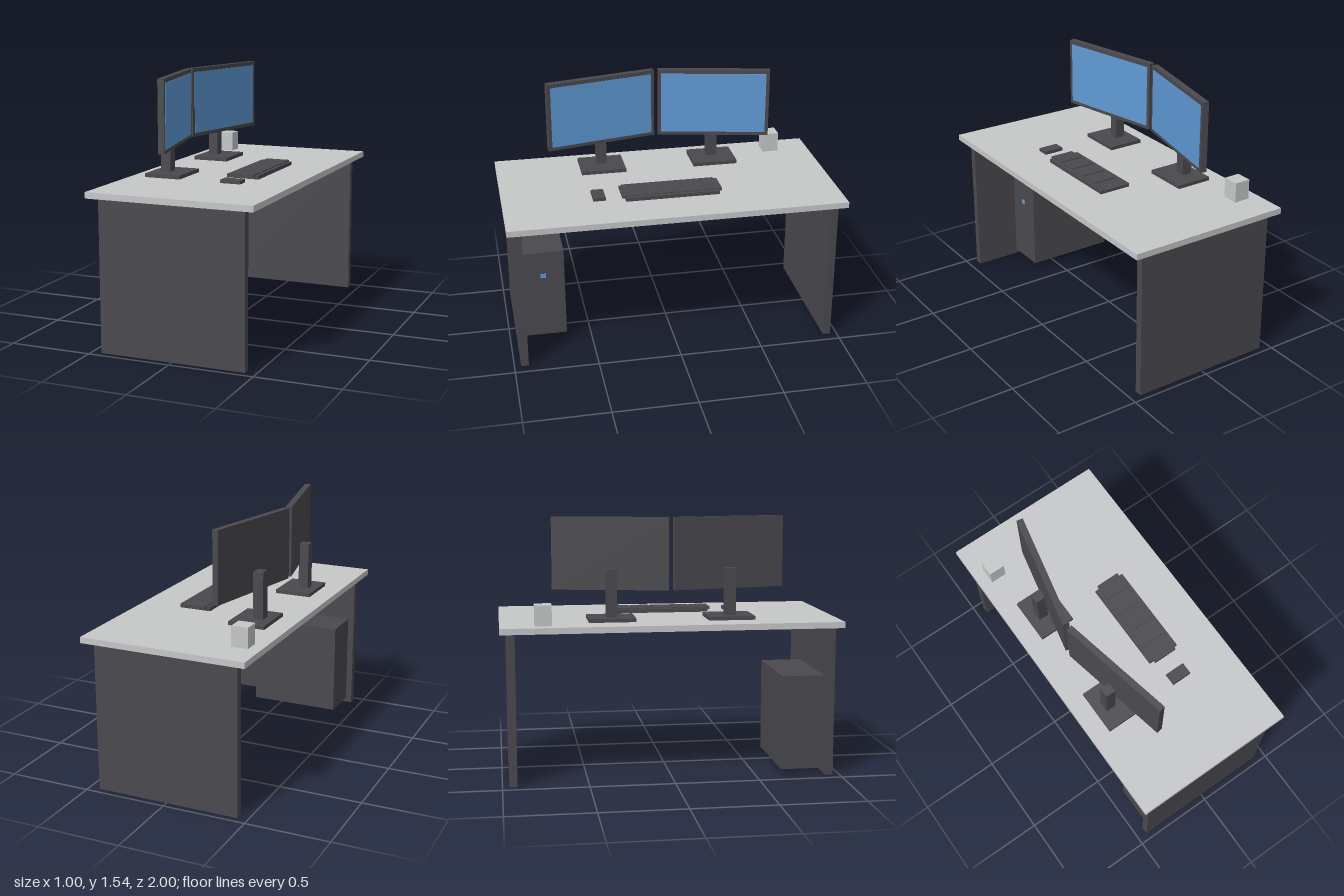
import * as THREE from 'three';

export function createModel() {
  const model = new THREE.Group();
  model.name = 'deskWorkstation';

  const paint = (name, color) => {
    const m = new THREE.MeshStandardMaterial({ color });
    m.name = name;
    return m;
  };
  const lightGrey = paint('lightGrey', 0xc6c8c9);
  const darkGrey = paint('darkGrey', 0x4a494e);
  const screenBlue = paint('screenBlue', 0x5f9ad6);

  // Box given by its minimum and maximum on each axis
  const box = (name, material, [x0, x1], [y0, y1], [z0, z1], parent = model) => {
    const mesh = new THREE.Mesh(new THREE.BoxGeometry(x1 - x0, y1 - y0, z1 - z0), material);
    mesh.position.set((x0 + x1) / 2, (y0 + y1) / 2, (z0 + z1) / 2);
    mesh.name = name;
    parent.add(mesh);
    return mesh;
  };

  // Desk
  box('desktop', lightGrey, [-0.5, 0.5], [0.895, 0.931], [-1, 1]);
  box('nearLegPanel', darkGrey, [-0.44, 0.437], [0, 0.895], [0.914, 0.96]);
  box('farLegPanel', darkGrey, [-0.44, 0.437], [0, 0.895], [-0.96, -0.914]);

  // Two monitors, angled towards the seat
  for (const side of [1, -1]) {
    const monitor = new THREE.Group();
    monitor.name = side > 0 ? 'nearMonitor' : 'farMonitor';
    monitor.position.set(0, 0, side * 0.35);
    model.add(monitor);
    box('monitorBase', darkGrey, [-0.388, -0.165], [0.939, 0.961], [-0.137, 0.137], monitor);
    box('monitorPost', darkGrey, [-0.335, -0.273], [0.961, 1.24], [-0.031, 0.031], monitor);

    const panel = new THREE.Group();
    panel.name = 'monitorPanel';
    panel.position.set(-0.253, 1.326, 0);
    panel.rotation.y = side * THREE.MathUtils.degToRad(12);
    monitor.add(panel);
    box('monitorCase', darkGrey, [-0.019, 0.019], [-0.212, 0.212], [-0.343, 0.343], panel);
    box('screen', screenBlue, [0.019, 0.022], [-0.19, 0.188], [-0.322, 0.322], panel);
  }

  // Keyboard with five raised key blocks
  const keyboard = new THREE.Group();
  keyboard.name = 'keyboard';
  model.add(keyboard);
  box('keyboardBase', darkGrey, [0.048, 0.246], [0.933, 0.955], [-0.281, 0.281], keyboard);
  for (let i = -2; i <= 2; i++) {
    const z = i * 0.123;
    box('keyBlock', darkGrey, [0.075, 0.223], [0.945, 0.961], [z - 0.054, z + 0.054], keyboard);
  }

  box('mouse', darkGrey, [0.084, 0.207], [0.933, 0.953], [0.396, 0.47]);
  box('cup', lightGrey, [-0.428, -0.33], [0.931, 1.051], [-0.8, -0.702]);

  // Computer tower under the desk
  box('computerTower', darkGrey, [-0.405, 0.158], [0.035, 0.6], [0.652, 0.904]);
  box('powerLight', screenBlue, [0.158, 0.163], [0.43, 0.457], [0.765, 0.797]);

  return model;
}
